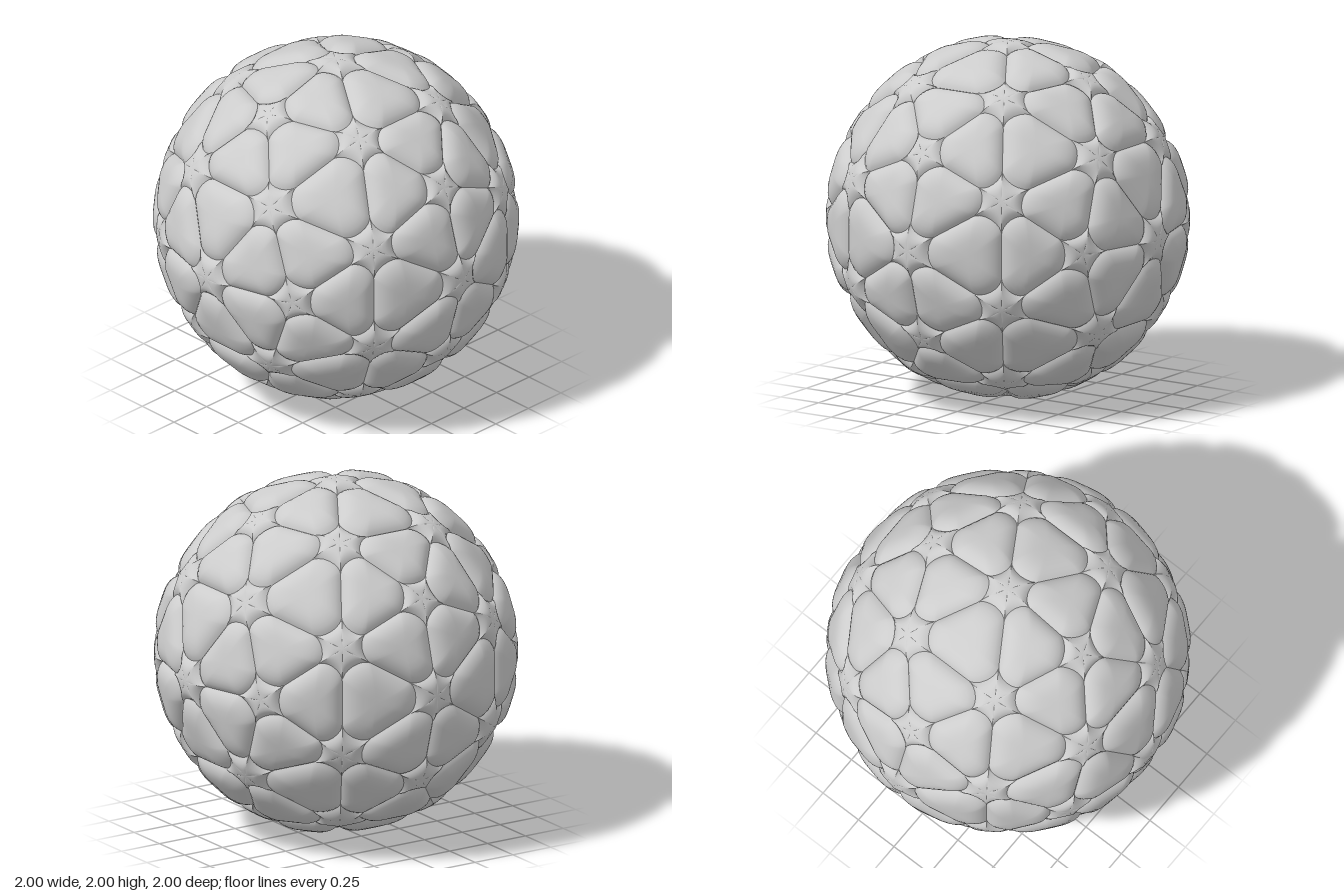
import * as THREE from 'three';

const ARM = 0.3;      // share of each edge taken by a star arm
const ROUND = 0.33;   // fullness of the rounded plate corners
const STEPS = 8;

// Height profiles: [share of the way from centre to outline, rise]
const PLATE = [[0.2, 0.058], [0.42, 0.056], [0.58, 0.051], [0.72, 0.043], [0.85, 0.03], [0.94, 0.015], [1, 0]];
const STAR = [[0.2, 0.005], [0.4, 0.013], [0.6, 0.018], [0.78, 0.016], [0.92, 0.008], [1, 0]];

// Rounded cut across corner a, running from edge ab to edge ac
function cornerArc(a, b, c) {
  const p = a.clone().lerp(b, ARM), q = a.clone().lerp(c, ARM), pts = [];
  for (let i = 0; i <= STEPS; i++) {
    const t = i / STEPS, w0 = (1 - t) ** 2, w1 = 2 * t * (1 - t) * ROUND, w2 = t * t;
    pts.push(new THREE.Vector3().addScaledVector(p, w0).addScaledVector(a, w1)
      .addScaledVector(q, w2).divideScalar(w0 + w1 + w2));
  }
  return pts;
}

// Pillow raised over a closed outline
function pillow(centre, outline, profile, rise0) {
  const up = centre.clone().normalize(), n = outline.length;
  const top = centre.clone().addScaledVector(up, rise0);
  const pos = [...top.toArray()], index = [];
  for (const [s, h] of profile) {
    for (const p of outline) {
      pos.push(...centre.clone().lerp(p, s).addScaledVector(up, h).toArray());
    }
  }
  for (let k = 0; k < n; k++) {
    const m = (k + 1) % n;
    index.push(0, 1 + k, 1 + m);
    for (let r = 0; r < profile.length - 1; r++) {
      const a = 1 + r * n, b = a + n;
      index.push(a + k, b + k, b + m, a + k, b + m, a + m);
    }
  }
  const geo = new THREE.BufferGeometry();
  geo.setAttribute('position', new THREE.Float32BufferAttribute(pos, 3));
  geo.setIndex(index);
  geo.computeVertexNormals();
  return geo;
}

export function createModel() {
  const model = new THREE.Group();
  model.name = 'plateBall';
  const grey = new THREE.MeshStandardMaterial({ color: 0xcccccc });
  grey.name = 'light grey';
  const add = (name, geo) => {
    const mesh = new THREE.Mesh(geo, grey);
    mesh.name = name;
    mesh.position.y = 1;
    model.add(mesh);
  };

  const base = new THREE.IcosahedronGeometry(1, 1).getAttribute('position');
  const hubs = new Map();

  // Domed plate on each triangle of the divided icosahedron
  for (let f = 0; f < base.count; f += 3) {
    const v = [0, 1, 2].map((i) => new THREE.Vector3().fromBufferAttribute(base, f + i));
    const arcs = v.map((a, i) => cornerArc(a, v[(i + 1) % 3], v[(i + 2) % 3]));
    const outline = [];
    for (let i = 0; i < 3; i++) {
      const arc = [...arcs[i]].reverse();
      const next = arcs[(i + 1) % 3][STEPS];
      outline.push(...arc);
      for (let k = 1; k < STEPS; k++) outline.push(arc[STEPS].clone().lerp(next, k / STEPS));

      const key = v[i].toArray().map((x) => Math.round(x * 1000) + 0).join();
      if (!hubs.has(key)) hubs.set(key, { centre: v[i], arcs: [] });
      hubs.get(key).arcs.push(arcs[i]);
    }
    const centre = v[0].clone().add(v[1]).add(v[2]).divideScalar(3);
    add('plate', pillow(centre, outline, PLATE, 0.058));
  }

  // Star-shaped piece where five or six plates meet
  for (const { centre, arcs } of hubs.values()) {
    const ax = arcs[0][0].clone().sub(centre).projectOnPlane(centre).normalize();
    const ay = centre.clone().cross(ax);
    const angle = (arc) => {
      const d = arc[STEPS / 2].clone().sub(centre);
      return Math.atan2(d.dot(ay), d.dot(ax));
    };
    arcs.sort((p, q) => angle(p) - angle(q));
    add('star', pillow(centre, arcs.flatMap((arc) => arc.slice(0, STEPS)), STAR, 0));
  }
  return model;
}
